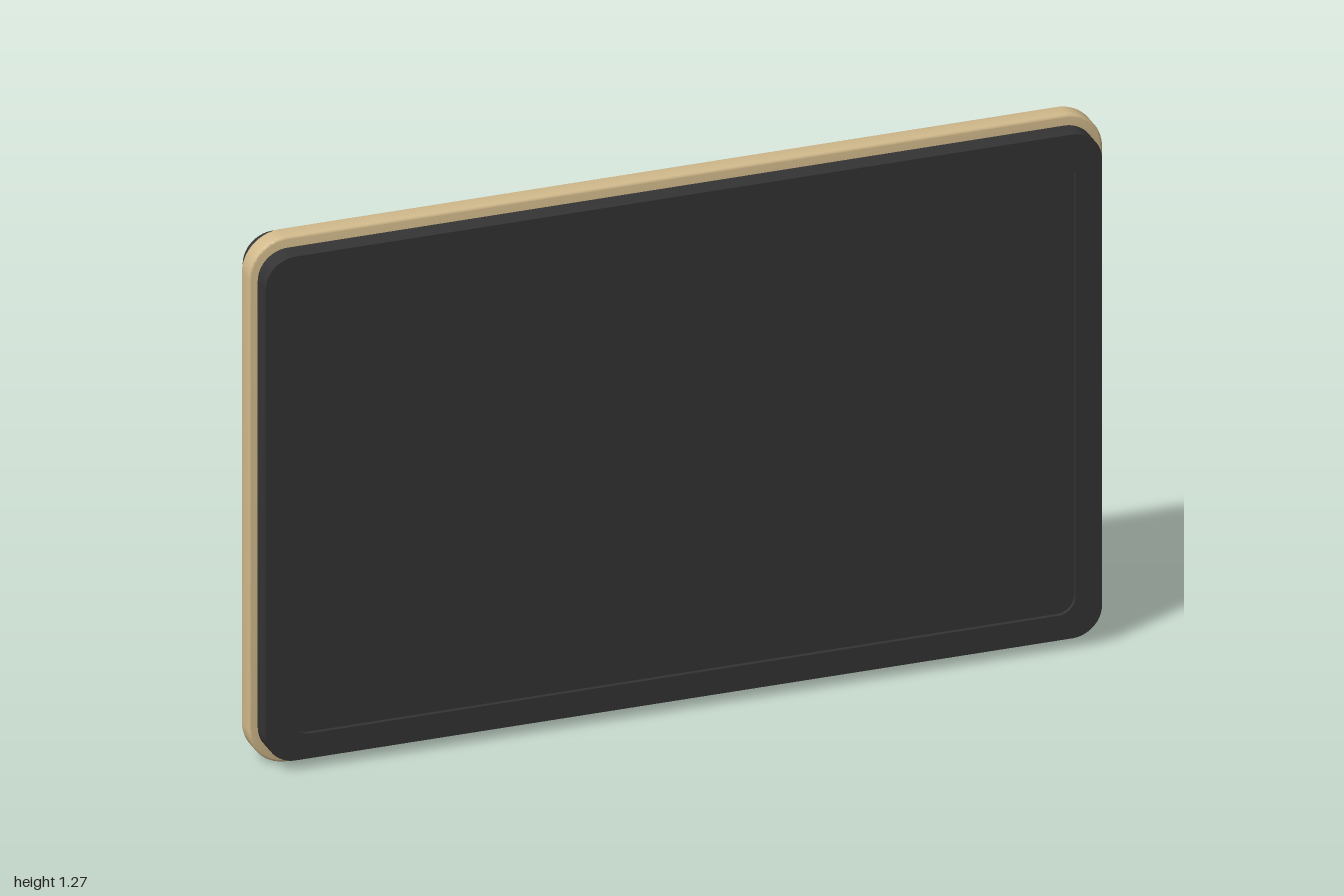
import * as THREE from 'three';
import { toCreasedNormals } from 'three/addons/utils/BufferGeometryUtils.js';

const CENTER_Y = 0.635;
const CORNER_STEPS = 10;

// Rounded rectangle centred on the panel
function roundedRect(halfW, halfH, r, Type = THREE.Shape) {
  const s = new Type();
  s.absarc(halfW - r, CENTER_Y + halfH - r, r, 0, Math.PI / 2);
  s.absarc(-halfW + r, CENTER_Y + halfH - r, r, Math.PI / 2, Math.PI);
  s.absarc(-halfW + r, CENTER_Y - halfH + r, r, Math.PI, Math.PI * 1.5);
  s.absarc(halfW - r, CENTER_Y - halfH + r, r, Math.PI * 1.5, Math.PI * 2);
  s.closePath();
  return s;
}

function plate(shape, z, depth, bevel = 0) {
  const g = new THREE.ExtrudeGeometry(shape, {
    depth: depth - 2 * bevel, curveSegments: 12, bevelEnabled: bevel > 0,
    bevelSize: bevel, bevelThickness: bevel, bevelSegments: 3,
  });
  g.translate(0, 0, z + bevel);
  return toCreasedNormals(g, 0.6);
}

// Sweeps x / -z sections up y, rounding the outer corners (|x| = outer)
function sweptSlab(sections, outer, r, y0, y1) {
  const rows = 2 * CORNER_STEPS + 1;
  const g = new THREE.ExtrudeGeometry(sections.map((p) => new THREE.Shape(p)), {
    depth: rows, steps: rows, bevelEnabled: false,
  });
  const p = g.attributes.position;
  for (let i = 0; i < p.count; i++) {
    const row = Math.round(p.getZ(i));
    const a = Math.min(row, rows - row) / CORNER_STEPS * Math.PI / 2;
    const inset = r * (1 - Math.cos(a));
    const x = p.getX(i);
    p.setZ(i, row <= CORNER_STEPS ? y0 + inset : y1 - inset);
    if (Math.abs(x) > outer - 1e-4) p.setX(i, Math.sign(x) * (outer - r + r * Math.sin(a)));
  }
  g.rotateX(-Math.PI / 2);
  return toCreasedNormals(g, 0.6);
}

// Points on the round channel that runs up the back
function channelArc(from, to, count) {
  const pts = [];
  for (let i = 0; i <= count; i++) {
    const a = from + (to - from) * i / count;
    pts.push(new THREE.Vector2(0.1 * Math.cos(a), 0.1 + 0.1 * Math.sin(a)));
  }
  return pts;
}

export function createModel() {
  const black = new THREE.MeshStandardMaterial({ color: 0x343434 });
  black.name = 'charcoal';
  const tan = new THREE.MeshStandardMaterial({ color: 0xd2ba8c });
  tan.name = 'tan';

  const model = new THREE.Group();
  model.name = 'panel';
  const add = (name, geometry, material) => {
    const mesh = new THREE.Mesh(geometry, material);
    mesh.name = name;
    model.add(mesh);
  };
  const v = (x, y) => new THREE.Vector2(x, y);

  // Front bezel with a slightly recessed face
  const bezel = roundedRect(0.98, 0.61, 0.07);
  bezel.holes.push(roundedRect(0.918, 0.55, 0.04, THREE.Path));
  add('frontBezel', plate(bezel, 0.085, 0.05), black);
  add('recessedFace', plate(roundedRect(0.918, 0.55, 0.04), 0.085, 0.04), black);

  // Middle band, softly bevelled
  add('middleBand', plate(roundedRect(0.995, 0.63, 0.085), 0.035, 0.05, 0.005), tan);

  // Back plate with a shallow vertical groove
  const lip = Math.asin(0.9);
  add('backPlate', sweptSlab([[
    v(-0.98, -0.035), v(0.98, -0.035), v(0.98, 0.01),
    ...channelArc(-lip, lip - Math.PI, 10), v(-0.98, 0.01),
  ]], 0.98, 0.07, 0.025, 1.245), black);

  // Pair of back grips hugging the channel
  const grip = [v(0.22, 0.01), v(0.22, 0.13), ...channelArc(Math.asin(0.3), -lip, 16)];
  const mirrored = grip.map((p) => v(-p.x, p.y));
  add('backGrips', sweptSlab([grip, mirrored], 0.22, 0.06, 0.28, 0.99), tan);

  return model;
}
